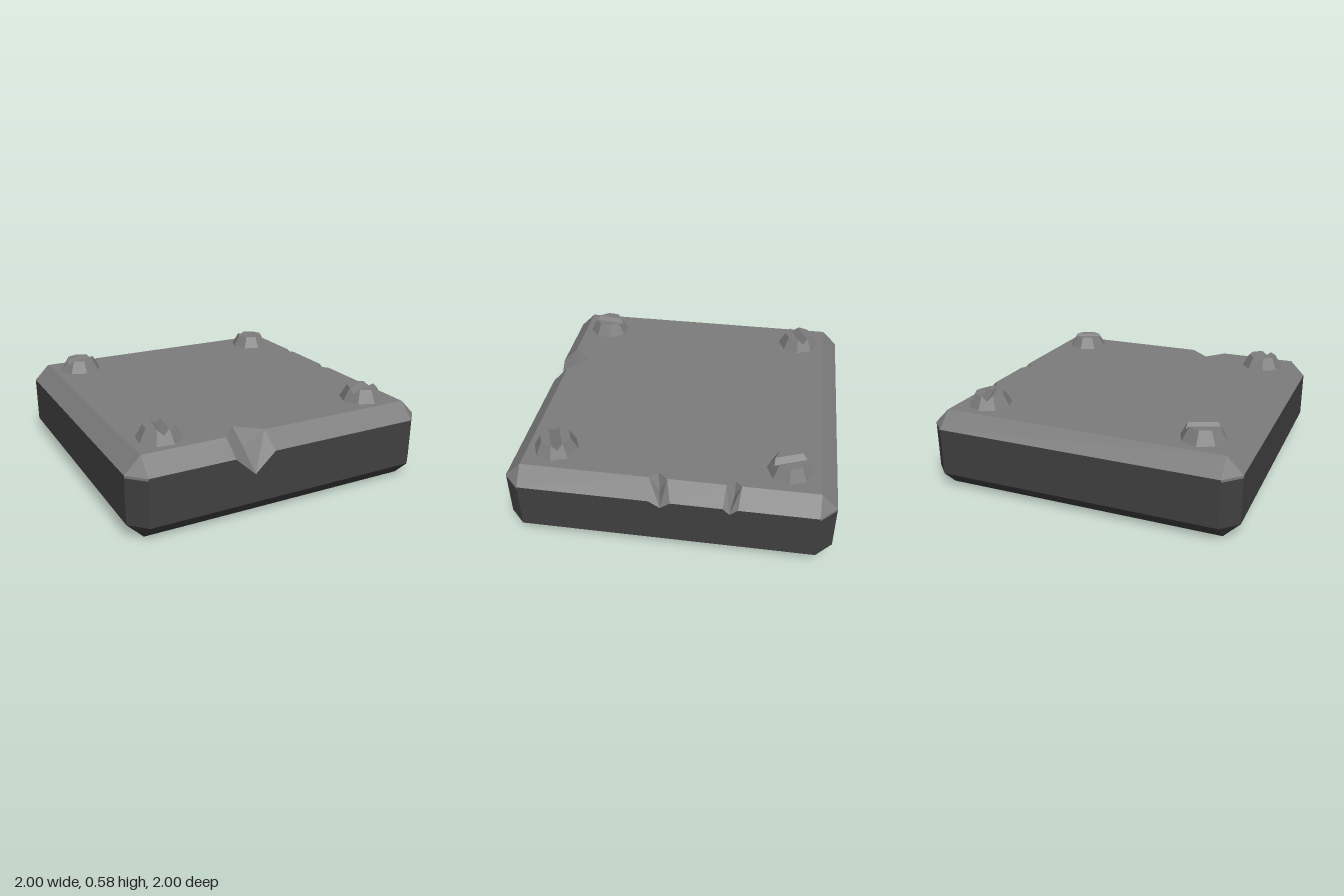
import * as THREE from 'three';

const V = (x, y, z) => new THREE.Vector3(x, y, z);
const UP = V(0, 1, 0);

// Flat-shaded mesh from planar polygons, corners anticlockwise from outside
function polyMesh(name, polys, material) {
  const out = [];
  for (const p of polys) {
    const n = V(0, 0, 0);
    p.forEach((a, i) => n.add(a.clone().cross(p[(i + 1) % p.length])));
    n.normalize();
    const e = p[1].clone().sub(p[0]).normalize();
    const f = n.clone().cross(e);
    const flat = p.map((q) => new THREE.Vector2(q.dot(e), q.dot(f)));
    for (const [i, j, k] of THREE.ShapeUtils.triangulateShape(flat, [])) {
      const ccw = flat[j].clone().sub(flat[i]).cross(flat[k].clone().sub(flat[i])) > 0;
      for (const m of ccw ? [i, j, k] : [i, k, j]) out.push(p[m].x, p[m].y, p[m].z);
    }
  }
  const g = new THREE.BufferGeometry();
  g.setAttribute('position', new THREE.Float32BufferAttribute(out, 3));
  g.computeVertexNormals();
  const mesh = new THREE.Mesh(g, material);
  mesh.name = name;
  return mesh;
}

// Chips in the rim of each side (front, right, back, left), as [along, y, outward]:
// l/r are the lips on top and side, t the top apex, k the inner kink, b the lowest point
const chip = (l1, l2, r1, r2, t, k, b) => ({
  l1: [l1, 0.5, 0.9], l2: [l2, 0.4, 1], r1: [r1, 0.5, 0.9], r2: [r2, 0.4, 1], t, k, b,
});
const CHIPS = [
  [chip(-0.38, -0.37, -0.13, -0.11, [-0.27, 0.5, 0.77], [-0.25, 0.4, 0.87], [-0.24, 0.28, 1])],
  [
    chip(-0.11, -0.1, 0, 0.03, [-0.06, 0.5, 0.85], [-0.045, 0.41, 0.91], [-0.03, 0.355, 1]),
    chip(0.35, 0.34, 0.44, 0.43, [0.4, 0.5, 0.86], [0.4, 0.42, 0.9], [0.38, 0.36, 1]),
  ],
  [],
  [],
];

function slab(light, dark) {
  const top = [], bottom = [], rim = [], walls = [], chips = [];
  for (let s = 0; s < 4; s++) {
    const P = (...pts) => pts.map((q) => V(...q).applyAxisAngle(UP, (s * Math.PI) / 2));
    const wallTop = [];
    let left = [[-0.9, 0.5, 0.9], [-0.9, 0.4, 1]];
    top.push(...P(left[0]));
    for (const { l1, l2, r1, r2, t, k, b } of CHIPS[s]) {
      top.push(...P(l1, t, r1));
      rim.push(P(left[1], l2, l1, left[0]));
      chips.push(P(l1, k, t), P(l1, l2, b), P(l1, b, k), P(r1, t, k), P(r1, k, b), P(r1, b, r2));
      wallTop.unshift(r2, b, l2);
      left = [r1, r2];
    }
    rim.push(P(left[1], [0.9, 0.4, 1], [0.9, 0.5, 0.9], left[0]));
    // top corner facet with its thin strip
    rim.push(P([0.9, 0.4, 1], [1, 0.4, 0.9], [0.9, 0.5, 0.9]));
    rim.push(P([0.9, 0.385, 1], [1, 0.385, 0.9], [1, 0.4, 0.9], [0.9, 0.4, 1]));
    // side wall, upright corner, lower bevel and lower corner
    walls.push(P([-0.9, 0.1, 1], [0.9, 0.1, 1], [0.9, 0.4, 1], ...wallTop, [-0.9, 0.4, 1]));
    walls.push(P([0.9, 0.1, 1], [1, 0.1, 0.9], [1, 0.385, 0.9], [0.9, 0.385, 1]));
    walls.push(P([-0.9, 0, 0.9], [0.9, 0, 0.9], [0.9, 0.1, 1], [-0.9, 0.1, 1]));
    walls.push(P([0.9, 0, 0.9], [1, 0.1, 0.9], [0.9, 0.1, 1]));
    bottom.unshift(...P([-0.9, 0, 0.9]));
  }
  const g = new THREE.Group();
  g.name = 'slab';
  g.add(
    polyMesh('topFace', [top], light),
    polyMesh('topBevel', rim, light),
    polyMesh('chippedNotches', chips, light),
    polyMesh('sideWalls', walls, dark),
    polyMesh('underside', [bottom], dark),
  );
  return g;
}

// Eight-sided tapered bolt head with a V-shaped slot along its local z
function bolt(material) {
  const h = 0.08, r0 = 0.14, r1 = 0.095, w = 0.033, depth = 0.03;
  const ring = (r, y, i) => {
    const a = ((i - 0.5) * Math.PI) / 4;
    return V(r * Math.sin(a), y, r * Math.cos(a));
  };
  const c = Math.cos(Math.PI / 8);
  const zTop = r1 * c, zLow = (r1 + ((r0 - r1) * depth) / h) * c, yLow = h - depth;
  const polys = [];
  for (let i = 0; i < 8; i++) {
    const s = i === 0 ? 1 : -1;
    const slot = i % 4 ? [] : [V(s * w, h, s * zTop), V(0, yLow, s * zLow), V(-s * w, h, s * zTop)];
    polys.push([ring(r0, 0, i), ring(r0, 0, i + 1), ring(r1, h, i + 1), ...slot, ring(r1, h, i)]);
  }
  for (const s of [1, -1]) {
    const first = s > 0 ? 1 : 5;
    const cap = [0, 1, 2, 3].map((j) => ring(r1, h, first + j));
    polys.push([...cap, V(s * w, h, -s * zTop), V(s * w, h, s * zTop)]);
    polys.push([V(s * w, h, s * zTop), V(s * w, h, -s * zTop), V(0, yLow, -s * zLow), V(0, yLow, s * zLow)]);
  }
  return polyMesh('bolt', polys, material);
}

export function createModel() {
  const light = new THREE.MeshStandardMaterial({ color: 0x7c7c7c });
  light.name = 'light grey metal';
  const dark = new THREE.MeshStandardMaterial({ color: 0x404040 });
  dark.name = 'dark grey metal';

  const model = new THREE.Group();
  model.name = 'boltedPlate';
  model.add(slab(light, dark));

  // Corner bolts: x, z and slot direction in degrees
  for (const [x, z, turn] of [
    [-0.71, -0.71, 112.5], [0.71, -0.71, 22.5], [-0.715, 0.725, -7.5], [0.71, 0.725, 112.5],
  ]) {
    const b = bolt(light);
    b.name = (z > 0 ? 'front' : 'back') + (x > 0 ? 'Left' : 'Right') + 'Bolt';
    b.position.set(x, 0.5, z);
    b.rotation.y = THREE.MathUtils.degToRad(turn);
    model.add(b);
  }
  return model;
}
